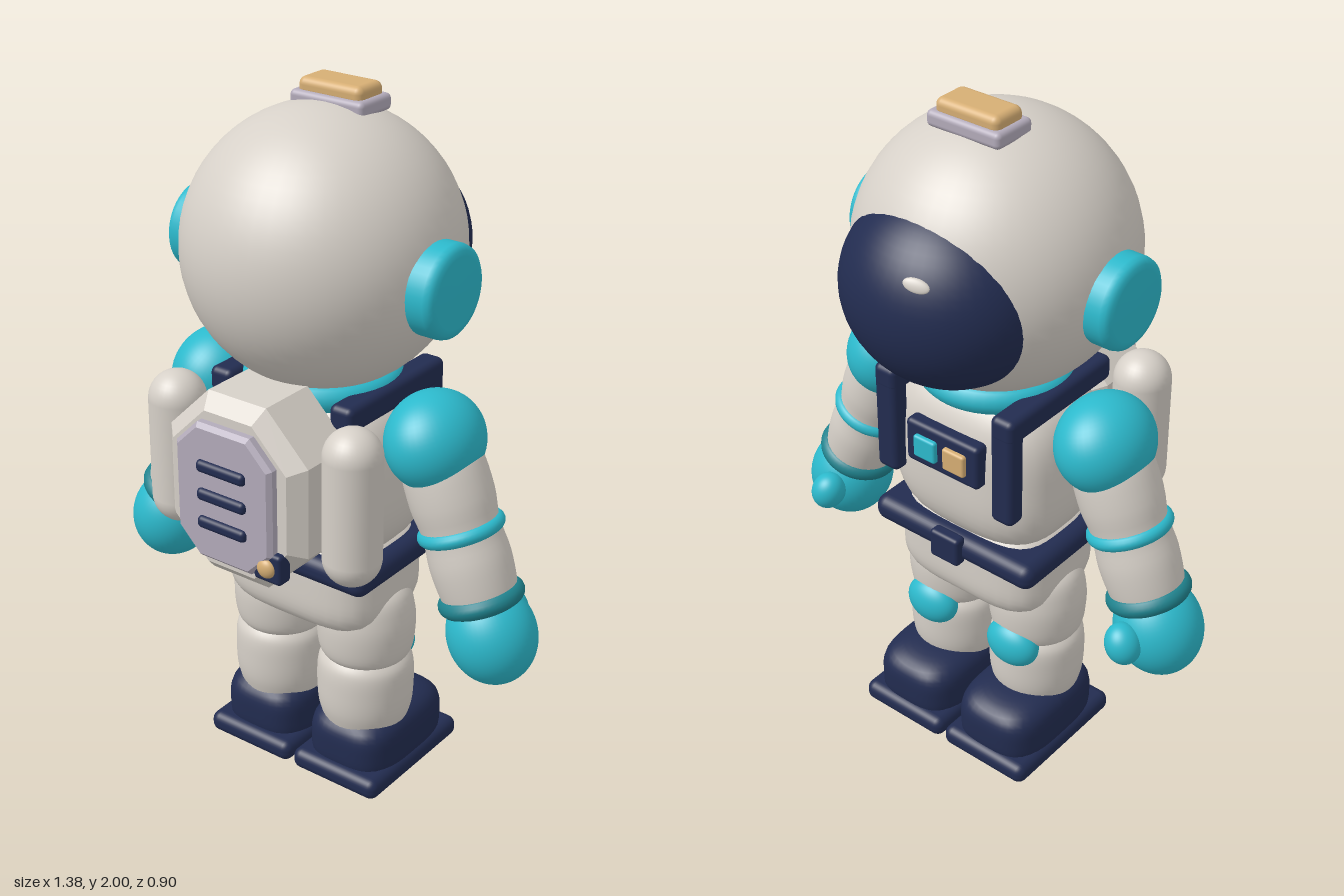
import * as THREE from 'three';
import { RoundedBoxGeometry } from 'three/addons/geometries/RoundedBoxGeometry.js';

const mat = (name, color) => Object.assign(new THREE.MeshStandardMaterial({ color }), { name });

export function createModel() {
  const white = mat('suit white', 0xd6d0c8);
  const teal = mat('teal', 0x2cb9cc);
  const darkTeal = mat('dark teal', 0x1f828d);
  const navy = mat('navy', 0x222c50);
  const lilac = mat('lilac grey', 0xb3abba);
  const amber = mat('amber', 0xd6ae74);

  const model = new THREE.Group();
  model.name = 'astronaut';

  const add = (name, geo, material, x = 0, y = 0, z = 0, parent = model) => {
    const m = new THREE.Mesh(geo, material);
    m.name = name;
    m.position.set(x, y, z);
    parent.add(m);
    return m;
  };
  const box = (w, h, d, r) => new RoundedBoxGeometry(w, h, d, 4, r);
  const ball = (rx, ry = rx, rz = rx) => new THREE.SphereGeometry(1, 48, 32).scale(rx, ry, rz);
  const ring = (r, t, flat = 1) => new THREE.TorusGeometry(r, t, 14, 48).rotateX(Math.PI / 2).scale(1, flat, 1);
  const lathe = (pts) => new THREE.LatheGeometry(
    new THREE.SplineCurve(pts.map((p) => new THREE.Vector2(...p))).getPoints(24), 40);

  // Soft block: a sphere whose coordinates are pushed towards the corners
  const softBlock = (rx, ry, rz, power) => {
    const g = new THREE.SphereGeometry(1, 48, 32);
    const p = g.attributes.position;
    const v = new THREE.Vector3();
    for (let i = 0; i < p.count; i++) {
      v.fromBufferAttribute(p, i);
      const n = (Math.abs(v.x) ** power + Math.abs(v.y) ** power + Math.abs(v.z) ** power) ** (1 / power);
      p.setXYZ(i, v.x / n * rx, v.y / n * ry, v.z / n * rz);
    }
    g.computeVertexNormals();
    return g;
  };

  // Chamfered rectangle extruded along z, with a bevel on the outer face
  const octagon = (hw, hh, c, depth, bevel, bevelDepth) => {
    const s = new THREE.Shape();
    const w = hw - bevel, h = hh - bevel;
    const pts = [[w, c - h], [w, h - c], [w - c, h], [c - w, h], [-w, h - c], [-w, c - h], [c - w, -h], [w - c, -h]];
    s.setFromPoints(pts.map((p) => new THREE.Vector2(...p)));
    return new THREE.ExtrudeGeometry(s, {
      depth, bevelEnabled: true, bevelSize: bevel, bevelThickness: bevelDepth, bevelSegments: 1,
    });
  };

  // Head, visor on the -z side
  add('helmet', ball(0.378, 0.379, 0.38), white, 0, 1.575, 0);
  add('visor', ball(0.288, 0.262, 0.255), navy, 0, 1.545, -0.2);
  const glint = add('visorGlint', ball(0.035, 0.018, 0.008), white, -0.09, 1.675, -0.415);
  glint.rotation.set(0.5, 0.35, 0);
  add('lampBase', box(0.232, 0.045, 0.135, 0.015), lilac, 0, 1.945, -0.07);
  add('lamp', box(0.2, 0.05, 0.108, 0.02), amber, 0, 1.975, -0.07);
  for (const s of [-1, 1]) {
    const ear = add(s > 0 ? 'leftEarPad' : 'rightEarPad', new THREE.LatheGeometry(
      [[0.125, 0], [0.125, 0.05], [0.121, 0.064], [0.11, 0.073], [0.095, 0.076], [0, 0.077]]
        .map((p) => new THREE.Vector2(...p)), 40), teal, s * 0.355, 1.545, 0.015);
    ear.rotation.z = -s * Math.PI / 2;
  }

  // Torso and pelvis
  add('neckRing', ring(0.18, 0.04), teal, 0, 1.215, 0);
  add('torso', softBlock(0.275, 0.255, 0.21, 3.2), white, 0, 0.965, 0);
  add('pelvis', softBlock(0.255, 0.15, 0.185, 4), white, 0, 0.645, 0);
  add('belt', box(0.56, 0.078, 0.42, 0.035), navy, 0, 0.718, -0.005);
  add('buckle', box(0.1, 0.09, 0.04, 0.012), navy, 0, 0.72, -0.217);

  // Chest panel
  add('chestPanel', box(0.25, 0.135, 0.05, 0.015), navy, 0, 1.04, -0.212);
  add('tealButton', box(0.075, 0.068, 0.03, 0.008), teal, 0.05, 1.04, -0.236);
  add('amberButton', box(0.075, 0.068, 0.03, 0.008), amber, -0.05, 1.04, -0.236);

  for (const s of [-1, 1]) {
    const side = s > 0 ? 'left' : 'right';

    // Shoulder straps
    add(side + 'StrapFront', box(0.075, 0.335, 0.06, 0.02), navy, s * 0.2, 1.067, -0.205);
    add(side + 'StrapTop', box(0.075, 0.075, 0.435, 0.02), navy, s * 0.2, 1.197, -0.018);

    // Arm, built straight down and then swung outwards
    const arm = new THREE.Group();
    arm.name = side + 'Arm';
    arm.position.set(s * 0.365, 1.115, 0);
    arm.rotation.z = s * 0.367;
    model.add(arm);
    add('shoulder', ball(0.128, 0.135, 0.152), teal, 0, 0, 0, arm);
    add('sleeve', lathe([[0.09, -0.5], [0.105, -0.43], [0.112, -0.34], [0.106, -0.25], [0.116, -0.16], [0.11, -0.05], [0.08, 0.02]]),
      white, 0, 0, 0, arm);
    add('elbowRing', ring(0.1, 0.021), teal, 0, -0.25, 0, arm);
    add('wristRing', ring(0.093, 0.027), darkTeal, 0, -0.45, 0, arm);
    add('glove', ball(0.123, 0.14, 0.124), teal, 0, -0.557, 0, arm);
    add('thumb', ball(0.05, 0.06, 0.052), teal, -s * 0.02, -0.54, -0.13, arm);

    // Leg
    const leg = new THREE.Group();
    leg.name = side + 'Leg';
    leg.position.x = s * 0.15;
    model.add(leg);
    add('thigh', lathe([[0.1, 0.375], [0.129, 0.4], [0.14, 0.46], [0.138, 0.53], [0.115, 0.6], [0.05, 0.64]]),
      white, 0, 0, 0, leg);
    add('shin', lathe([[0.11, 0.14], [0.134, 0.22], [0.139, 0.3], [0.134, 0.365], [0.11, 0.4]]),
      white, 0, 0, 0, leg);
    add('kneePad', ball(0.085, 0.072, 0.055), teal, 0, 0.378, -0.112, leg);
    add('boot', softBlock(0.14, 0.105, 0.195, 3.6), navy, 0.003 * s, 0.108, -0.053, leg);
    add('sole', box(0.296, 0.064, 0.436, 0.028), navy, 0.004 * s, 0.036, -0.048, leg);
  }

  // Backpack on the +z side
  const pack = new THREE.Group();
  pack.name = 'backpack';
  model.add(pack);
  add('packBody', octagon(0.228, 0.262, 0.11, 0.17, 0.04, 0.04), white, 0, 1.004, 0.195, pack);
  add('packPlate', octagon(0.158, 0.197, 0.065, 0.02, 0.012, 0.012), lilac, 0, 1.004, 0.403, pack);
  for (const y of [0.92, 1.002, 1.084]) {
    add('vent', box(0.16, 0.035, 0.03, 0.014), navy, 0, y, 0.434, pack);
  }
  add('valveBox', box(0.09, 0.088, 0.05, 0.012), navy, 0.137, 0.845, 0.402, pack);
  add('valveKnob', ball(0.028, 0.028, 0.018), amber, 0.137, 0.845, 0.426, pack);
  for (const s of [-1, 1]) {
    add(s > 0 ? 'leftTank' : 'rightTank', new THREE.CapsuleGeometry(0.08, 0.29, 10, 32), white, s * 0.293, 1.005, 0.265, pack);
  }
  return model;
}
